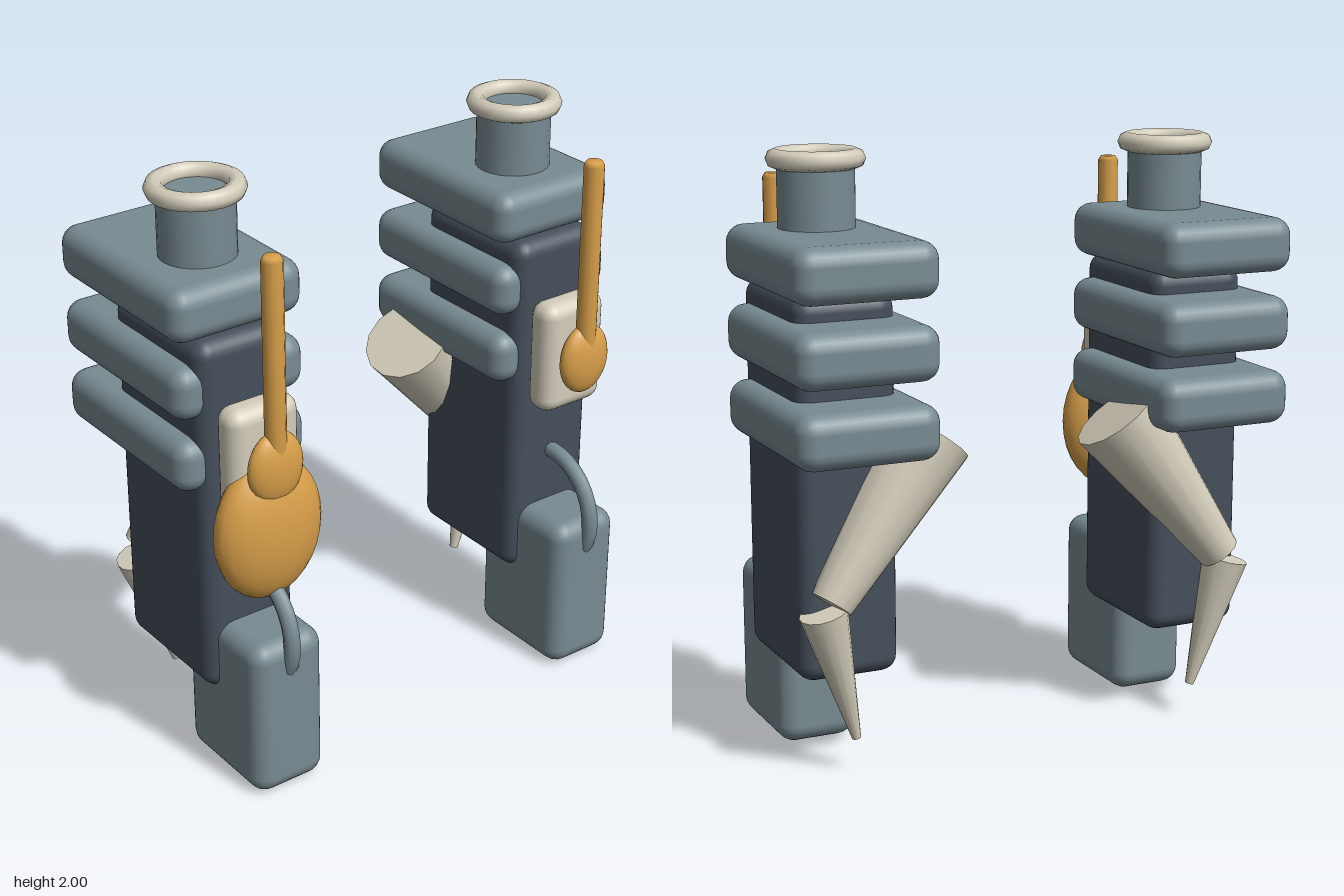
import * as THREE from 'three';
import { RoundedBoxGeometry } from 'three/addons/geometries/RoundedBoxGeometry.js';

const material = (name, color) => {
  const m = new THREE.MeshStandardMaterial({ color });
  m.name = name;
  return m;
};

export function createModel() {
  const slate = material('slate', 0x788b92);
  const dark = material('darkSteel', 0x454f5b);
  const cream = material('cream', 0xd3cdbb);
  const gold = material('gold', 0xd9a04a);
  const model = new THREE.Group();
  model.name = 'towerPair';

  const add = (parent, name, geometry, mat, x = 0, y = 0, z = 0) => {
    const mesh = new THREE.Mesh(geometry, mat);
    mesh.name = name;
    mesh.position.set(x, y, z);
    parent.add(mesh);
    return mesh;
  };

  // Rounded block given by its width and its y and z limits
  const block = (parent, name, mat, w, y0, y1, z0, z1, r) =>
    add(parent, name, new RoundedBoxGeometry(w, y1 - y0, z1 - z0, 3, r), mat,
      0, (y0 + y1) / 2, (z0 + z1) / 2);

  const ellipsoid = (parent, name, mat, y, z, rx, ry, rz) =>
    add(parent, name, new THREE.SphereGeometry(1, 24, 16), mat, 0, y, z).scale.set(rx, ry, rz);

  // Tapered limb running from point a to point b
  const limb = (parent, name, a, b, ra, rb) => {
    const dir = b.clone().sub(a);
    const mesh = add(parent, name, new THREE.CylinderGeometry(rb, ra, dir.length(), 14), cream);
    mesh.position.copy(a).add(b).multiplyScalar(0.5);
    mesh.quaternion.setFromUnitVectors(new THREE.Vector3(0, 1, 0), dir.normalize());
  };

  for (const side of [-1, 1]) {
    const tower = new THREE.Group();
    tower.name = side > 0 ? 'leftTower' : 'rightTower';
    tower.position.x = side * 0.63;
    model.add(tower);

    // Body, foot and the three stacked slabs
    block(tower, 'body', dark, 0.34, 0.32, 1.57, -0.27, 0.24, 0.055);
    block(tower, 'foot', slate, 0.27, 0.005, 0.57, 0.03, 0.455, 0.06);
    for (const y of [1.06, 1.31, 1.57])
      block(tower, 'slab', slate, 0.48, y, y + 0.18, -0.48, 0.225, 0.06);

    // Chimney with rim
    add(tower, 'chimney', new THREE.CylinderGeometry(0.125, 0.125, 0.28, 24), slate, 0, 1.82, -0.015);
    add(tower, 'chimneyRim', new THREE.TorusGeometry(0.128, 0.032, 8, 28), cream, 0, 1.969, -0.015)
      .rotation.x = Math.PI / 2;

    // Chest plate with a rod and its bulb
    block(tower, 'chestPlate', cream, 0.26, 0.97, 1.37, 0.235, 0.35, 0.05);
    ellipsoid(tower, 'rodBulb', gold, 1.175, 0.385, 0.1, 0.125, 0.045);
    const rod = [[0, 1.18], [0.035, 1.18], [0.035, 1.868], [0.026, 1.883], [0, 1.883]];
    add(tower, 'rod', new THREE.LatheGeometry(rod.map(p => new THREE.Vector2(...p)), 12),
      gold, 0, 0, 0.39);
    if (side < 0) ellipsoid(tower, 'largeBulb', gold, 0.94, 0.335, 0.195, 0.25, 0.098);

    // Hoop joining body and foot
    add(tower, 'hoop', new THREE.TorusGeometry(0.208, 0.028, 8, 32), slate, 0, 0.555, 0.25)
      .rotation.y = Math.PI / 2;

    // Rear arm, from the inner shoulder to the outer elbow and down to the tip
    const point = (x, y, z) => new THREE.Vector3(side * (x - 0.63), y, z);
    limb(tower, 'upperArm', point(0.345, 1.09, -0.22), point(0.71, 0.59, -0.3), 0.155, 0.072);
    limb(tower, 'forearm', point(0.735, 0.565, -0.293), point(0.62, 0.12, -0.27), 0.08, 0.015);
  }
  return model;
}
